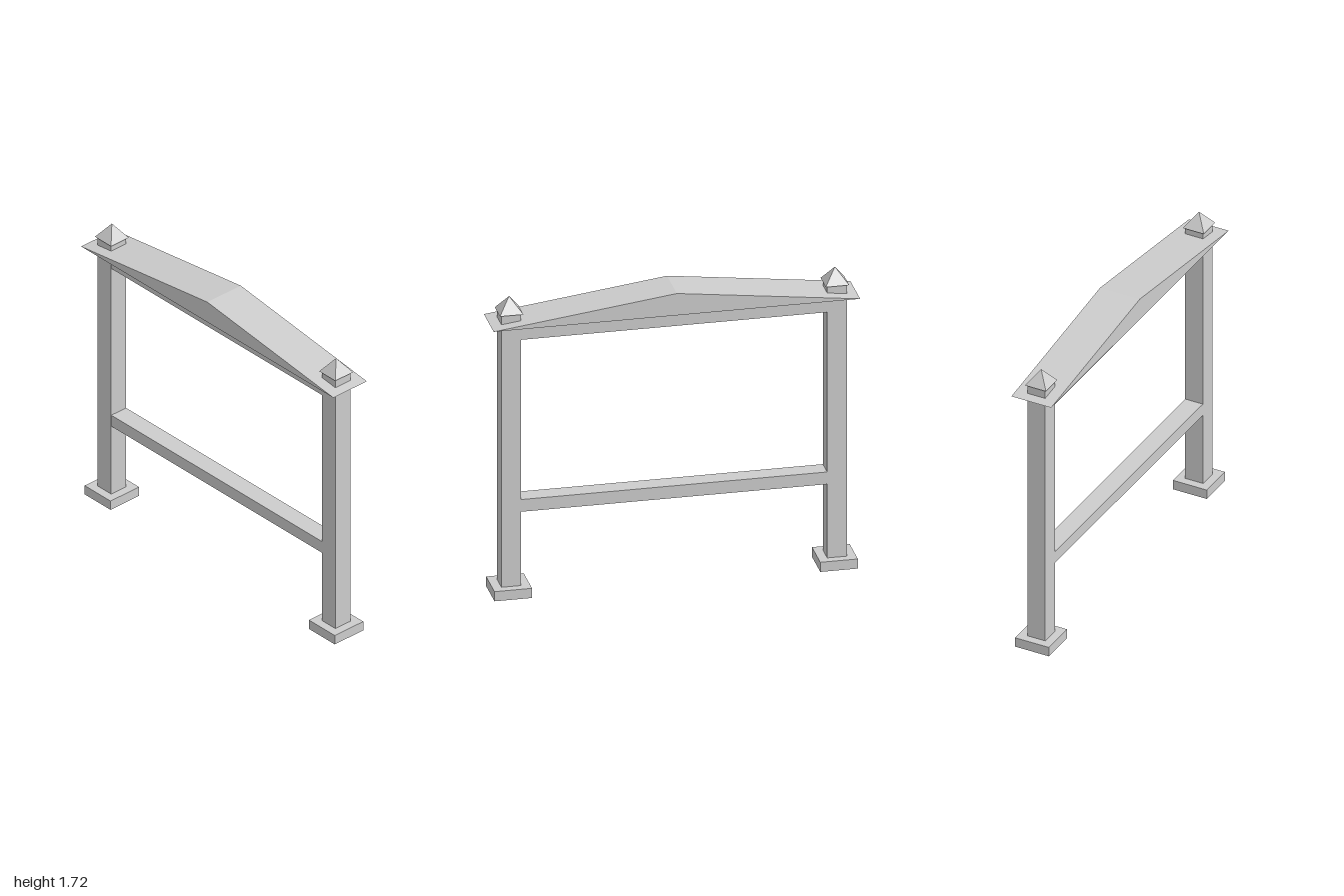
import * as THREE from 'three';

export function createModel() {
  const group = new THREE.Group();
  const grey = new THREE.MeshStandardMaterial({ color: 0xcccccc, flatShading: true });
  grey.name = 'plain grey';

  const add = (name, geometry, x, y, z = 0) => {
    const mesh = new THREE.Mesh(geometry, grey);
    mesh.name = name;
    mesh.position.set(x, y, z);
    group.add(mesh);
  };
  // Box placed by its bottom and top heights
  const box = (name, x, bottom, top, width, depth) =>
    add(name, new THREE.BoxGeometry(width, top - bottom, depth), x, (bottom + top) / 2);

  const postX = 0.889;
  const postWidth = 0.108;

  // Footing, post and pyramid cap on each side
  for (const [side, s] of [['left', 1], ['right', -1]]) {
    box(side + 'Footing', s * postX, 0, 0.056, 0.205, 0.205);
    box(side + 'Post', s * postX, 0.056, 1.637, postWidth, postWidth);
    const cap = new THREE.ConeGeometry(0.064 * Math.SQRT2, 0.086, 4).rotateY(Math.PI / 4);
    add(side + 'Cap', cap, s * postX, 1.637 + 0.043);
  }

  // Cross beams between the posts
  const span = 2 * postX - postWidth;
  box('lowerRail', 0, 0.485, 0.556, span, 0.106);
  box('upperBeam', 0, 1.486, 1.577, span, 0.106);

  // Shallow gabled roof
  const gable = new THREE.Shape();
  gable.moveTo(-1, 0);
  gable.lineTo(1, 0);
  gable.lineTo(0, 0.127);
  gable.closePath();
  const roof = new THREE.ExtrudeGeometry(gable, { depth: 0.24, bevelEnabled: false });
  add('roof', roof, 0, 1.577, -0.12);

  return group;
}
